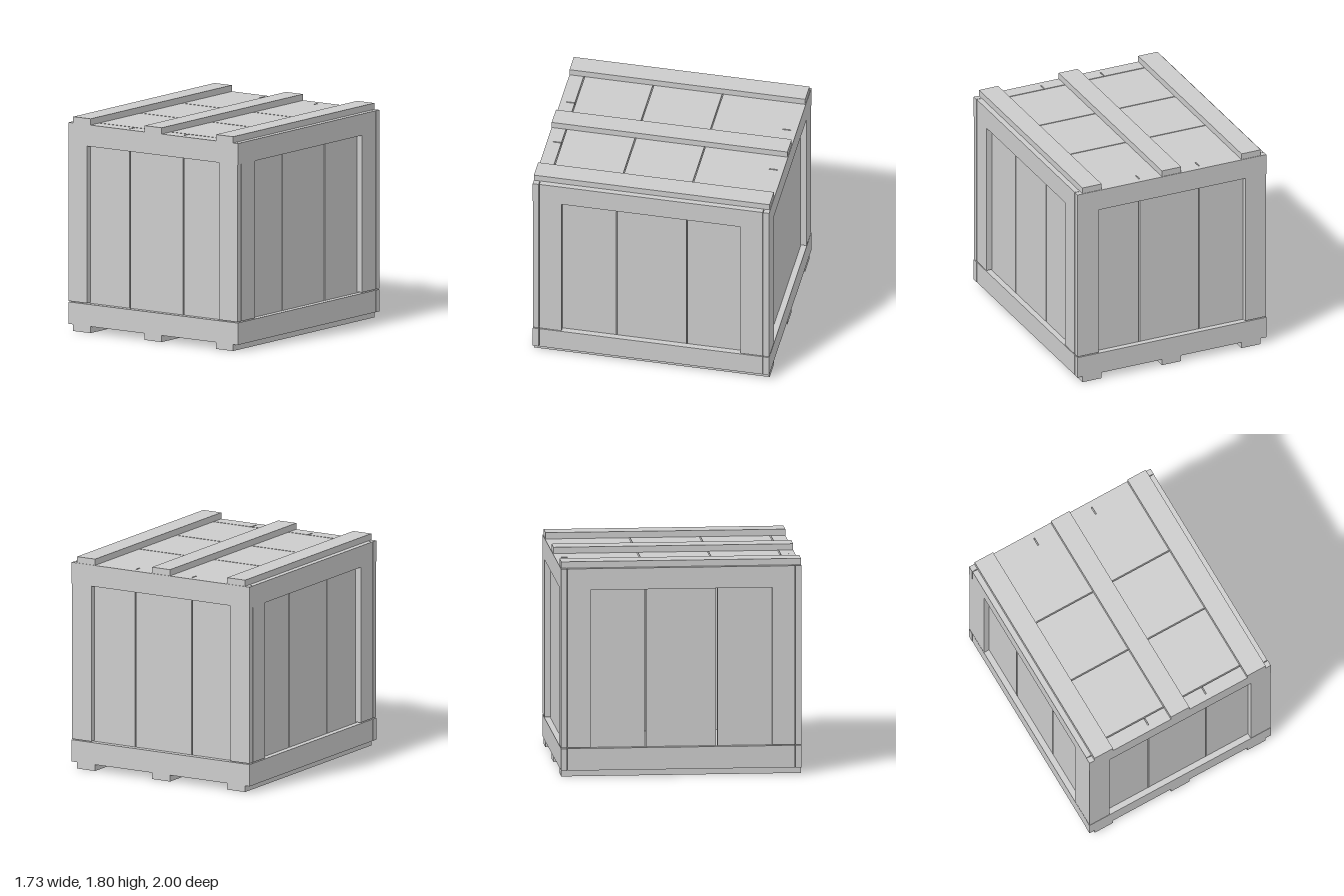
import * as THREE from 'three';

export function createModel() {
  const crate = new THREE.Group();
  crate.name = 'crate';
  const material = new THREE.MeshStandardMaterial({ color: 0xcccccc, flatShading: true });

  // Box given by its lower and upper limits on each axis
  function plank(name, [x0, x1], [y0, y1], [z0, z1]) {
    const mesh = new THREE.Mesh(new THREE.BoxGeometry(x1 - x0, y1 - y0, z1 - z0), material);
    mesh.position.set((x0 + x1) / 2, (y0 + y1) / 2, (z0 + z1) / 2);
    mesh.name = name;
    crate.add(mesh);
  }
  // Range mirrored to the negative side when s is -1
  const side = (s, a, b) => (s > 0 ? [a, b] : [-b, -a]);

  const bottom = 0.055, top = 1.75;
  const lowRail = [bottom, 0.24], stile = [0.248, 1.57], highRail = [1.57, top];

  // Skids under the floor and battens over the lid
  for (const x of [-0.73, 0, 0.73]) {
    plank('skid', [x - 0.088, x + 0.088], [0, bottom], [-0.995, 1]);
    plank('lidBatten', [x - 0.088, x + 0.088], [top, 1.803], [-0.995, 1]);
  }

  // Floor and lid boards, three each
  for (const z of [[-0.88, -0.302], [-0.292, 0.285], [0.295, 0.87]]) {
    plank('floorBoard', [-0.815, 0.815], [bottom, bottom + 0.05], z);
    plank('lidBoard', [-0.815, 0.815], [top - 0.05, top], z);
  }

  for (const s of [1, -1]) {
    const end = s > 0 ? 'front' : 'back';
    const flank = s > 0 ? 'left' : 'right';

    // Front and back walls: boards, then the raised frame
    for (const x of [[-0.815, -0.28], [-0.27, 0.27], [0.28, 0.815]]) {
      plank(end + 'Board', x, [bottom, top], side(s, 0.88, 0.95));
    }
    const endDepth = side(s, 0.95, 1);
    plank(end + 'LowRail', [-0.867, 0.867], lowRail, endDepth);
    plank(end + 'HighRail', [-0.867, 0.867], highRail, endDepth);
    for (const t of [1, -1]) plank(end + 'Stile', side(t, 0.675, 0.865), stile, endDepth);

    // Side walls: boards, then the raised frame between the end frames
    for (const z of [[-0.88, -0.3], [-0.29, 0.295], [0.305, 0.88]]) {
      plank(flank + 'Board', side(s, 0.765, 0.815), [bottom + 0.05, top - 0.05], z);
    }
    const flankDepth = side(s, 0.815, 0.865);
    plank(flank + 'LowRail', flankDepth, lowRail, [-0.945, 0.945]);
    plank(flank + 'HighRail', flankDepth, highRail, [-0.945, 0.945]);
    for (const t of [1, -1]) plank(flank + 'Stile', flankDepth, stile, side(t, 0.757, 0.945));
  }
  return crate;
}
